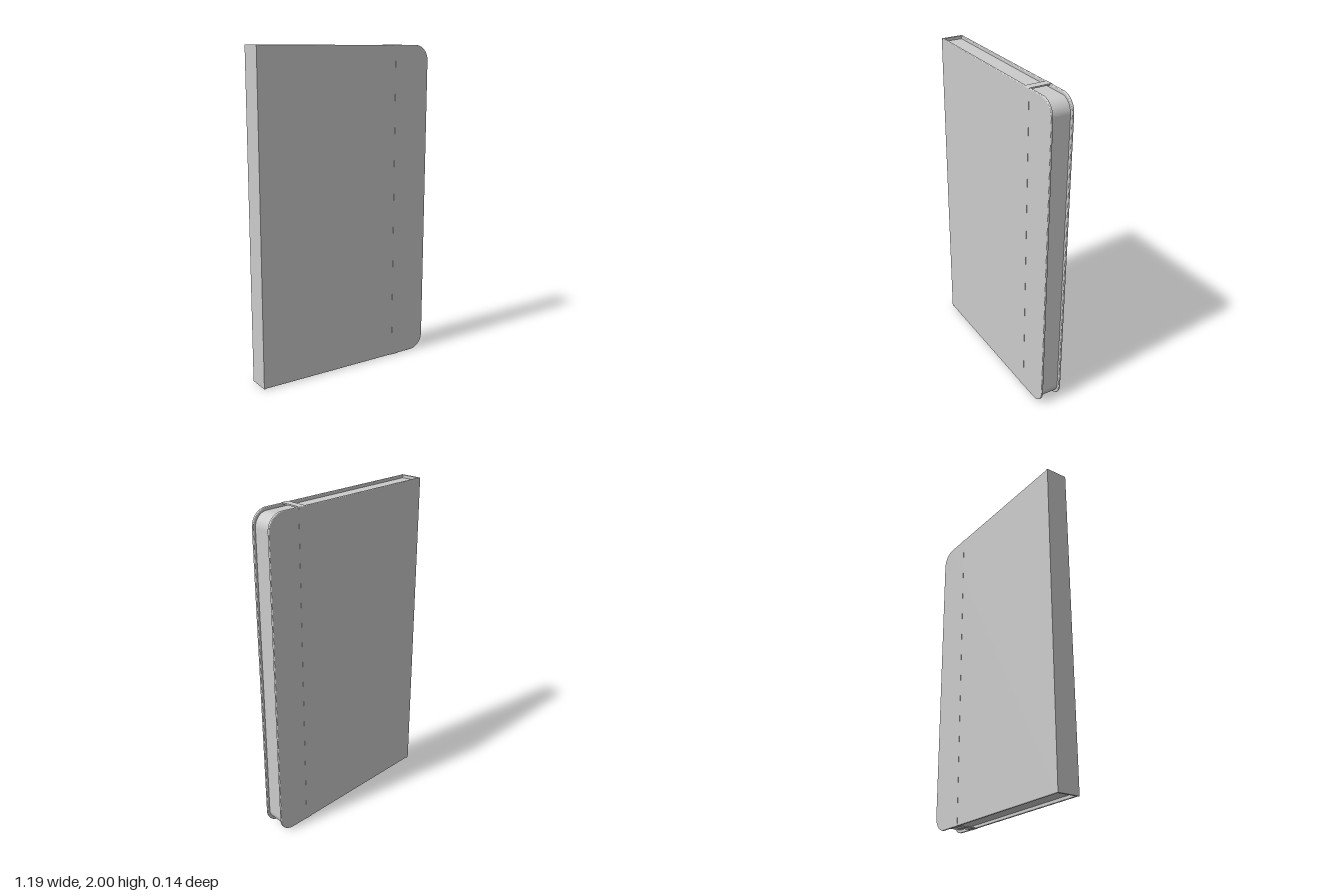
import * as THREE from 'three';

const material = new THREE.MeshStandardMaterial({ color: 0xcccccc });

// Rectangle squared on the spine side and rounded on the opening side
function leafShape(x0, x1, y0, y1, r) {
  const s = new THREE.Shape();
  s.moveTo(x0, y0);
  s.lineTo(x1 - r, y0);
  s.absarc(x1 - r, y0 + r, r, -Math.PI / 2, 0);
  s.lineTo(x1, y1 - r);
  s.absarc(x1 - r, y1 - r, r, 0, Math.PI / 2);
  s.lineTo(x0, y1);
  s.closePath();
  return s;
}

function roundedRect(path, w, y0, y1, r) {
  path.moveTo(-w + r, y0);
  path.absarc(w - r, y0 + r, r, -Math.PI / 2, 0);
  path.absarc(w - r, y1 - r, r, 0, Math.PI / 2);
  path.absarc(-w + r, y1 - r, r, Math.PI / 2, Math.PI);
  path.absarc(-w + r, y0 + r, r, Math.PI, Math.PI * 1.5);
  return path;
}

export function createModel() {
  const group = new THREE.Group();
  const add = (name, geometry) => {
    const mesh = new THREE.Mesh(geometry, material);
    mesh.name = name;
    group.add(mesh);
    return mesh;
  };

  // Front and back covers with softened edges
  const bevel = 0.005, thickness = 0.014, depth = 0.07;
  const coverGeometry = new THREE.ExtrudeGeometry(
    leafShape(-0.592, 0.597 - bevel, 0.002 + bevel, 1.998 - bevel, 0.09),
    { depth: thickness - 2 * bevel, bevelEnabled: true, bevelSize: bevel,
      bevelThickness: bevel, bevelSegments: 4, curveSegments: 16 });
  coverGeometry.translate(0, 0, bevel - thickness / 2);
  for (const [name, side] of [['frontCover', 1], ['backCover', -1]]) {
    add(name, coverGeometry).position.z = side * (depth - thickness / 2);
  }

  // Flat spine joining the covers
  add('spine', new THREE.BoxGeometry(0.013, 1.996, depth * 2)).position.set(-0.5915, 1, 0);

  // Page block, set back slightly from the cover edges
  const pages = new THREE.ExtrudeGeometry(
    leafShape(-0.587, 0.582, 0.02, 1.98, 0.08),
    { depth: 0.114, bevelEnabled: false, curveSegments: 16 });
  add('pages', pages).position.z = -0.057;

  // Elastic band looped vertically around the closed book
  const loop = roundedRect(new THREE.Shape(), depth + 0.001, 0, 2, 0.006);
  loop.holes.push(roundedRect(new THREE.Path(), depth - 0.006, 0.008, 1.992, 0.002));
  const band = new THREE.ExtrudeGeometry(loop, { depth: 0.046, bevelEnabled: false, curveSegments: 5 });
  band.rotateY(Math.PI / 2);
  add('elasticBand', band).position.x = 0.345;

  return group;
}
